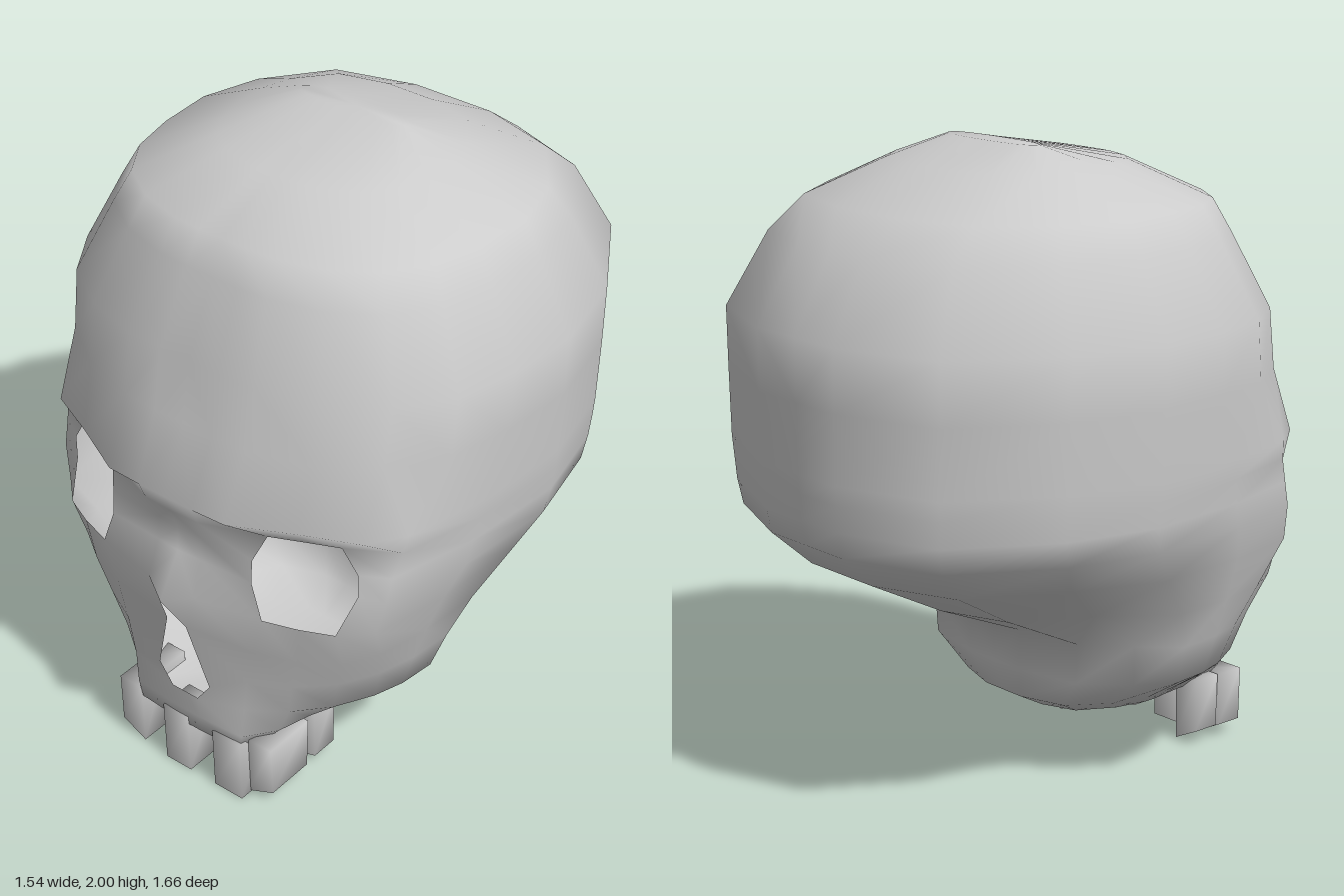
import * as THREE from 'three';
import { mergeVertices } from 'three/addons/utils/BufferGeometryUtils.js';

const material = new THREE.MeshStandardMaterial({ color: 0xcccccc, side: THREE.DoubleSide });

// Horizontal rings, top to bottom:
// [y, front z, back z, half width, z of the widest point, pinch of the rear corners]
const RINGS = [
  [2.0, -0.05, -0.13, 0.2, -0.09, 1],
  [1.94, 0.29, -0.35, 0.36, -0.09, 1],
  [1.83, 0.51, -0.57, 0.6, -0.1, 1],
  [1.73, 0.56, -0.7, 0.655, -0.1, 1],
  [1.5, 0.665, -0.83, 0.77, -0.1, 1],
  [1.31, 0.7, -0.83, 0.765, -0.1, 1],
  [1.1, 0.79, -0.83, 0.755, -0.1, 1], // brow ridge
  [1.04, 0.77, -0.825, 0.75, -0.1, 1], // top of the sockets
  [0.96, 0.74, -0.82, 0.74, -0.1, 1],
  [0.88, 0.745, -0.805, 0.73, -0.08, 1],
  [0.765, 0.83, -0.68, 0.68, 0.0, 0.92], // cheekbones and nose tip
  [0.62, 0.765, -0.4, 0.62, 0.12, 0.82],
  [0.49, 0.745, -0.09, 0.575, 0.18, 0.9],
  [0.36, 0.74, -0.09, 0.53, 0.2, 0.95],
  [0.25, 0.735, -0.05, 0.35, 0.25, 1],
  [0.19, 0.73, 0.06, 0.26, 0.33, 1],
];

// Face columns 1..5 (x, z pairs) of the rings from the brow down
const BROW = 6, SOCKET_TOP = 7, CHEEK = 10, NOSE_WING = 12, NOSE_BASE = 13;
const FACE = [
  [0.1, 0.79, 0.22, 0.785, 0.41, 0.69, 0.58, 0.615, 0.66, 0.5],
  [0.1, 0.765, 0.3, 0.69, 0.41, 0.64, 0.5, 0.6, 0.65, 0.51],
  [0.08, 0.735, 0.27, 0.725, 0.41, 0.66, 0.55, 0.59, 0.635, 0.54],
  [0.08, 0.74, 0.27, 0.73, 0.41, 0.67, 0.55, 0.59, 0.63, 0.56],
  [0.09, 0.78, 0.31, 0.735, 0.42, 0.7, 0.52, 0.655, 0.605, 0.575],
  [0.037, 0.765, 0.27, 0.73, 0.4, 0.685, 0.51, 0.61, 0.57, 0.5],
  [0.1, 0.74, 0.24, 0.725, 0.36, 0.665, 0.46, 0.57, 0.525, 0.45],
  [0.05, 0.74, 0.22, 0.72, 0.33, 0.64, 0.42, 0.54, 0.485, 0.42],
  [0.05, 0.735, 0.21, 0.725, 0.28, 0.63, 0.31, 0.52, 0.335, 0.4],
  [0.05, 0.73, 0.2, 0.72, 0.23, 0.62, 0.24, 0.51, 0.25, 0.42],
];
// How far the first two columns hang below their ring around the nose
const NOSE_DROP = { [CHEEK]: [0.025, 0], [NOSE_WING]: [0, 0.09], [NOSE_BASE]: [0.03, 0.03] };
const FRONT_PLAN = [[0, 1], [0.14, 1], [0.3, 0.99], [0.55, 0.92], [0.77, 0.78], [0.91, 0.57]];
const BACK_PLAN = [[1, 0], [0.91, 0.41], [0.66, 0.84], [0.235, 1], [0, 1]];
const HALF = 11, COUNT = HALF * 2;

// One point of the left half; column 0 is the front centre, column 11 the back centre
function ringPoint(row, col) {
  const [y, zFront, zBack, width, zSide, pinch] = RINGS[row];
  if (col >= 7) {
    const [u, v] = BACK_PLAN[col - 7];
    return [u * width * (col > 7 ? pinch : 1), y, zSide + v * (zBack - zSide)];
  }
  if (col === 6) {
    const [x, , z] = ringPoint(row, 5);
    return [x + (width - x) * 0.7, y, zSide + (z - zSide) * 0.55];
  }
  const drop = NOSE_DROP[row]?.[col] ?? 0;
  if (row >= BROW && col > 0) {
    const face = FACE[row - BROW];
    return [face[col * 2 - 2], y - drop, face[col * 2 - 1]];
  }
  const [u, v] = FRONT_PLAN[col];
  return [u * width, y - drop, zSide + v * (zFront - zSide)];
}

function skullGeometry() {
  const positions = [], index = [];
  RINGS.forEach((_, row) => {
    for (let j = 0; j < COUNT; j++) {
      const [x, y, z] = ringPoint(row, j <= HALF ? j : COUNT - j);
      positions.push(j <= HALF ? x : -x, y, z);
    }
  });
  for (let r = 0; r < RINGS.length - 1; r++) {
    for (let j = 0; j < COUNT; j++) {
      const left = j < HALF;
      const cell = left ? j : COUNT - 1 - j;
      const eye = r >= SOCKET_TOP && r < CHEEK && (cell === 2 || cell === 3);
      const nose = r > CHEEK && r < NOSE_BASE && cell === 0;
      if (eye || nose) continue;
      const next = (j + 1) % COUNT;
      const a = r * COUNT + j, b = a + COUNT;
      const d = r * COUNT + next, e = d + COUNT;
      const noseTip = r === CHEEK && cell === 0;
      // Diagonals mirror across the middle; the nose opening starts below the tip
      if (left) {
        index.push(a, e, d);
        if (!noseTip) index.push(a, b, e);
      } else {
        index.push(d, a, b);
        if (!noseTip) index.push(d, b, e);
      }
    }
  }
  // Crown and underside close the first and last ring
  const base = (RINGS.length - 1) * COUNT, crown = positions.length / 3;
  positions.push(0, 2, -0.09, 0, 0.2, 0.4);
  for (let j = 0; j < COUNT; j++) {
    const next = (j + 1) % COUNT;
    index.push(crown, j, next, base + next, base + j, crown + 1);
  }

  const geometry = new THREE.BufferGeometry();
  geometry.setAttribute('position', new THREE.Float32BufferAttribute(positions, 3));
  geometry.setIndex(index);
  geometry.computeVertexNormals();
  return geometry;
}

// A smooth block whose biting edge narrows and rises towards the outer side
function toothGeometry(width, depth, rise) {
  const box = new THREE.BoxGeometry(width, 0.22, depth);
  box.deleteAttribute('normal');
  box.deleteAttribute('uv');
  const geometry = mergeVertices(box);
  geometry.translate(0, 0.11, 0);
  const p = geometry.attributes.position;
  for (let i = 0; i < p.count; i++) {
    if (p.getY(i) > 0.1) continue;
    if (p.getX(i) * rise > 0) p.setY(i, Math.abs(rise));
    p.setZ(i, p.getZ(i) * 0.92);
  }
  geometry.computeVertexNormals();
  return geometry;
}

export function createModel() {
  const group = new THREE.Group();
  const skull = new THREE.Mesh(skullGeometry(), material);
  skull.name = 'skull';
  group.add(skull);

  // Remaining teeth: [x, z, width, depth, outer rise, lift]
  const teeth = new THREE.Group();
  teeth.name = 'teeth';
  [
    [-0.05, 0.675, 0.1, 0.12, 0, 0],
    [0.155, 0.675, 0.11, 0.12, 0, 0],
    [0.25, 0.605, 0.1, 0.18, 0.045, 0],
    [0.25, 0.43, 0.09, 0.1, 0.03, 0.015],
    [-0.25, 0.67, 0.09, 0.1, -0.045, 0],
    [-0.255, 0.56, 0.09, 0.1, -0.045, 0.005],
  ].forEach(([x, z, width, depth, rise, lift]) => {
    const tooth = new THREE.Mesh(toothGeometry(width, depth, rise), material);
    tooth.name = 'tooth';
    tooth.position.set(x, lift, z);
    teeth.add(tooth);
  });
  group.add(teeth);
  return group;
}
